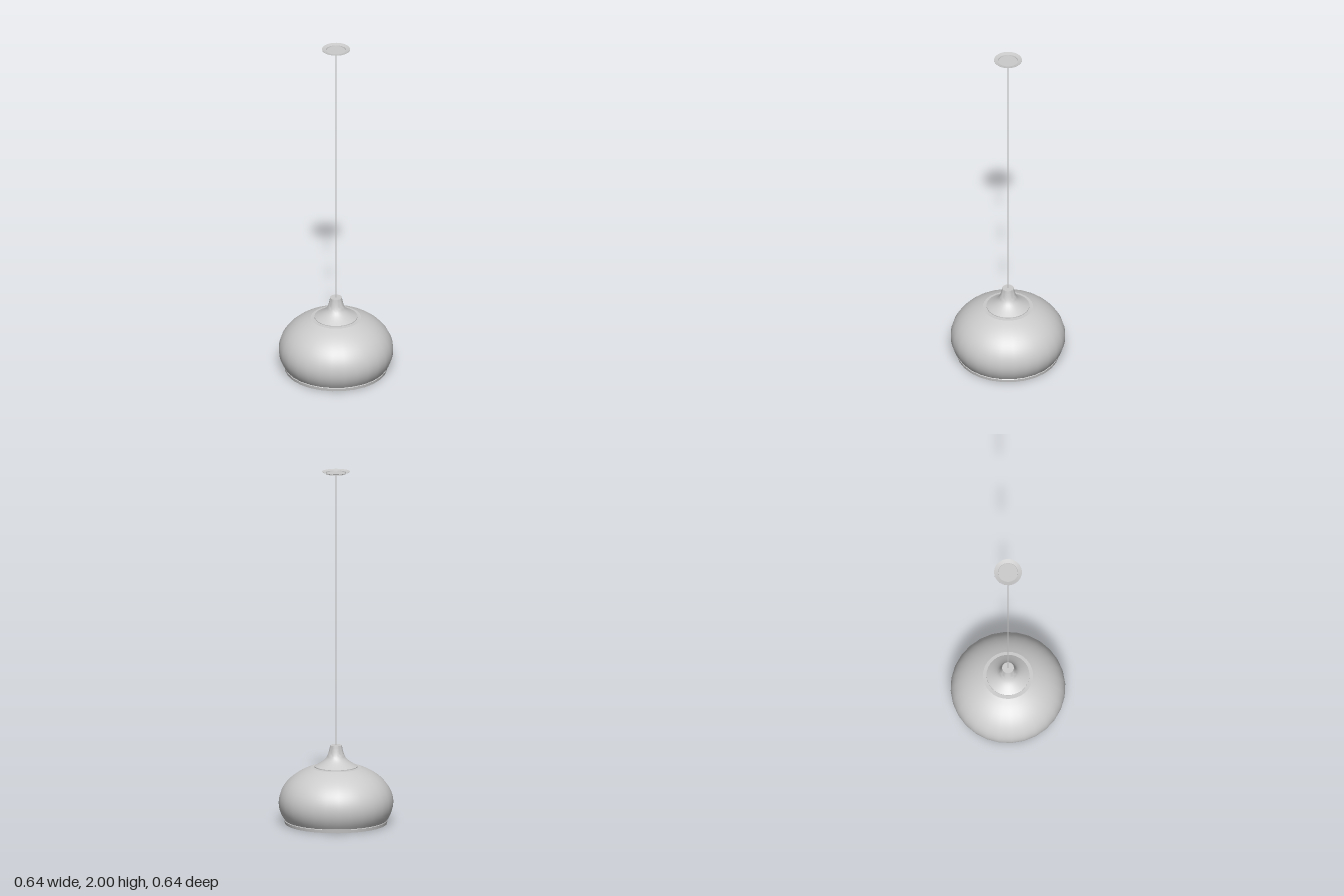
import * as THREE from 'three';
import { toCreasedNormals } from 'three/addons/utils/BufferGeometryUtils.js';

const SIDES = 28;
const material = new THREE.MeshStandardMaterial({ color: 0xcccccc, side: THREE.DoubleSide });

// Revolve a profile of [radius, height] pairs, listed from bottom to top on the outside
function turned(name, profile, crease = 0.6) {
  const points = profile.map(([r, y]) => new THREE.Vector2(r, y));
  const geometry = toCreasedNormals(new THREE.LatheGeometry(points, SIDES), crease);
  const mesh = new THREE.Mesh(geometry, material);
  mesh.name = name;
  return mesh;
}

// Arc of an ellipse centred on the axis at y = 0.12
function ellipseArc(rx, ry, from, to, steps) {
  return Array.from({ length: steps + 1 }, (_, i) => {
    const a = from + (to - from) * i / steps;
    return [rx * Math.cos(a), 0.12 + ry * Math.sin(a)];
  });
}

export function createModel() {
  const model = new THREE.Group();
  model.name = 'pendantLamp';

  // Bulbous shade with a flat collar, turning into a conical inner wall
  const bulge = ellipseArc(0.32, 0.22, -0.47, 1.118, 20);
  model.add(turned('shade', [...bulge, [0.1, 0.319], [0.285, 0]], 0.28));

  // Narrow band around the opening
  model.add(turned('shadeRim', [[0.285, 0], [0.288, 0.018], [0.284, 0.021]]));

  // Flared cap that carries the shade
  const flare = new THREE.SplineCurve([
    [0.12, 0.324], [0.085, 0.345], [0.058, 0.368], [0.044, 0.394], [0.036, 0.425], [0.033, 0.443],
  ].map(([r, y]) => new THREE.Vector2(r, y))).getPoints(14).map((p) => [p.x, p.y]);
  model.add(turned('cap', [[0, 0.32], [0.12, 0.32], ...flare, [0, 0.443]]));

  // Hanging cord
  const cord = new THREE.Mesh(new THREE.CylinderGeometry(0.0025, 0.0025, 1.55, 12), material);
  cord.name = 'cord';
  cord.position.y = 0.44 + 1.55 / 2;
  model.add(cord);

  // Shallow ceiling plate: sloping flange around a recessed floor
  model.add(turned('ceilingPlate', [
    [0, 1.988], [0.057, 1.988], [0.057, 1.993], [0.078, 1.999],
    [0.078, 2], [0.056, 1.995], [0.055, 1.99], [0, 1.99],
  ], 0.2));

  return model;
}
